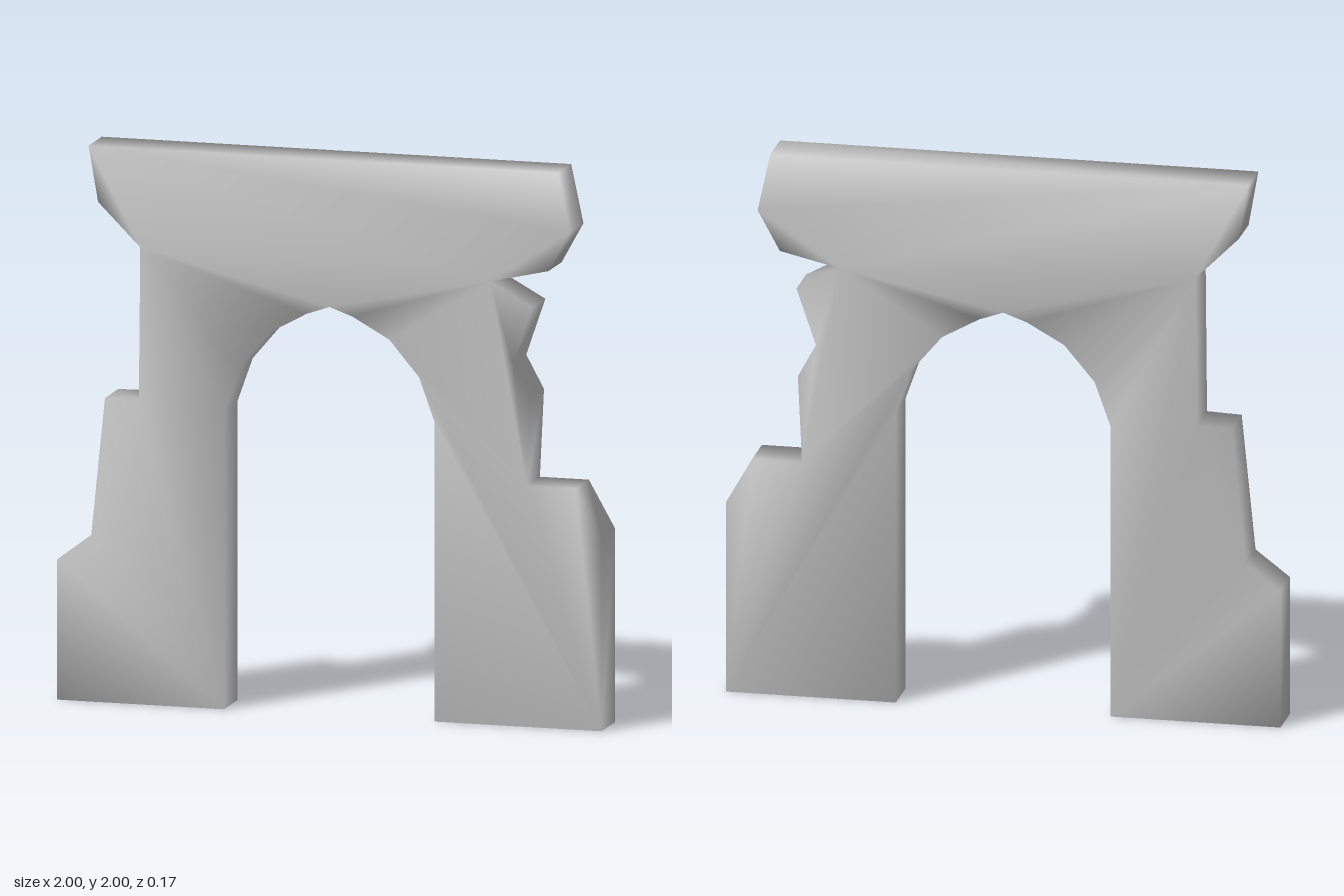
import * as THREE from 'three';
import { mergeVertices } from 'three/addons/utils/BufferGeometryUtils.js';

const DEPTH = 0.166;

export function createModel() {
  const group = new THREE.Group();
  group.name = 'ruinedArch';

  // Broken outer edge of the wall, from the left-hand foot over the top to the other foot
  const outerEdge = [
    [-1, 0], [-1, 0.505], [-0.875, 0.6], [-0.825, 1.095], [-0.7, 1.1],
    [-0.695, 1.645], [-0.85, 1.8], [-0.885, 2],
    [0.84, 2], [0.885, 1.79], [0.805, 1.645], [0.59, 1.595],
    [0.745, 1.51], [0.675, 1.305], [0.74, 1.185], [0.725, 0.868],
    [0.905, 0.868], [1, 0.7], [1, 0],
  ];

  // Half of the arched opening, from the foot up towards the crown
  const archHalf = [[0.387, 0], [0.387, 1.075], [0.33, 1.235], [0.22, 1.365], [0.085, 1.44]];
  const opening = [
    ...archHalf,
    [0, 1.47],
    ...archHalf.map(([x, y]) => [-x, y]).reverse(),
  ];

  const shape = new THREE.Shape([...outerEdge, ...opening].map(([x, y]) => new THREE.Vector2(x, y)));
  let geometry = new THREE.ExtrudeGeometry(shape, { depth: DEPTH, bevelEnabled: false });
  geometry.translate(0, 0, -DEPTH / 2);

  // Weld the corners so the shading rolls softly around every edge
  geometry.deleteAttribute('normal');
  geometry.deleteAttribute('uv');
  geometry = mergeVertices(geometry, 1e-4);
  geometry.computeVertexNormals();

  const wall = new THREE.Mesh(geometry, new THREE.MeshStandardMaterial({ color: 0xcccccc }));
  wall.name = 'archWall';
  group.add(wall);
  return group;
}
